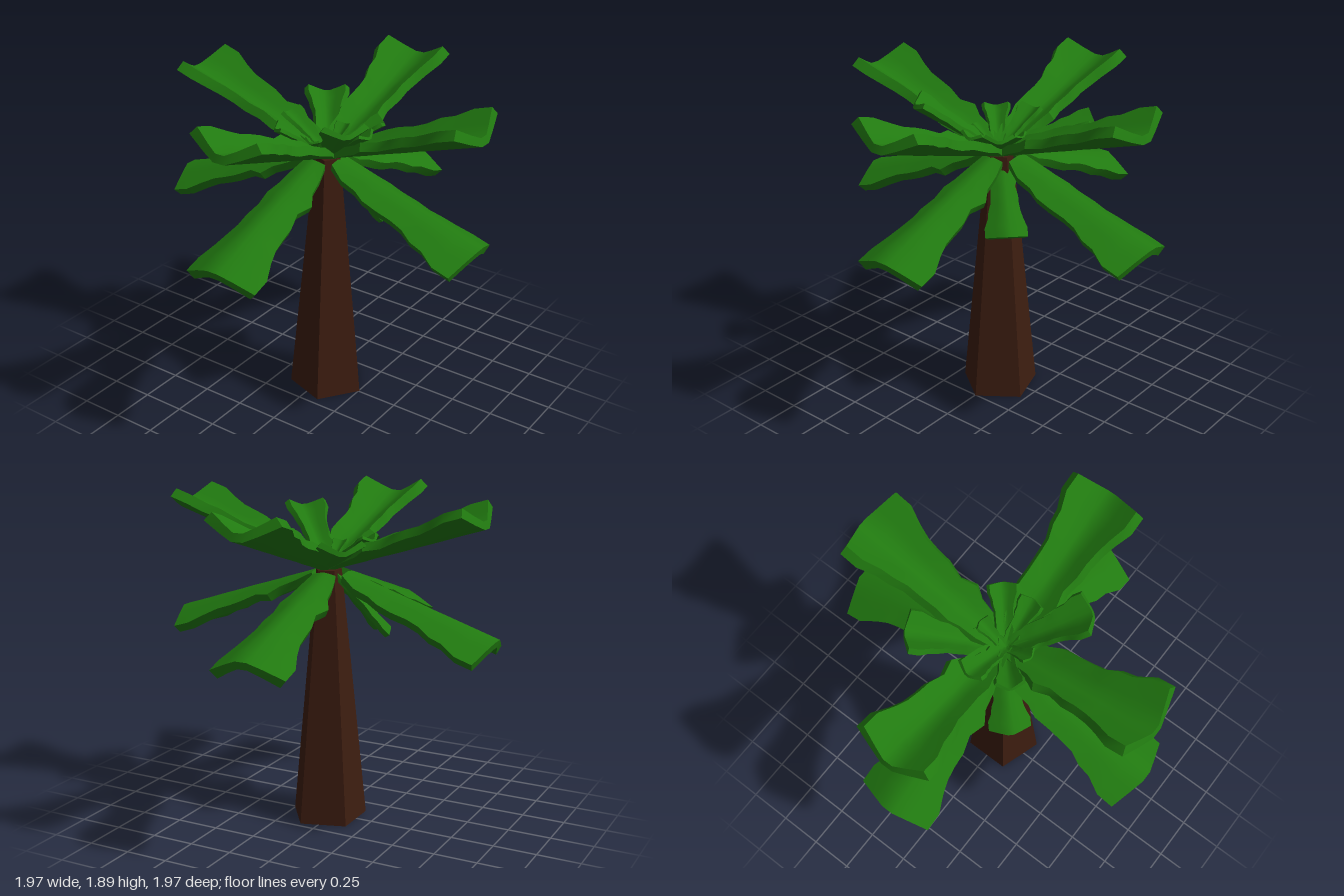
import * as THREE from 'three';
import { toCreasedNormals } from 'three/addons/utils/BufferGeometryUtils.js';

const LENGTH = 0.94;
const CROWN_X = 0.03;
const CROWN_Y = 1.47;
const green = new THREE.MeshStandardMaterial({ color: 0x217a10 });
const brown = new THREE.MeshStandardMaterial({ color: 0x3d1d10, flatShading: true });

// Stations along a frond: [distance, half width, rim height]
const STATIONS = [
  [0, 0.07, 0.06], [0.1, 0.1, 0.08], [0.2, 0.12, 0.095], [0.27, 0.145, 0.105],
  [0.36, 0.13, 0.105], [0.46, 0.15, 0.115], [0.54, 0.145, 0.115], [0.62, 0.17, 0.13],
  [0.7, 0.185, 0.135], [0.8, 0.225, 0.155], [LENGTH, 0.225, 0.155],
];
const LATERAL = [-1, -0.5, -0.15, 0.15, 0.5, 1];

// A thick trough-shaped frond along +x with its keel at y = 0
function frondGeometry() {
  const positions = [];
  const indices = [];
  const m = LATERAL.length;
  const n = 2 * m;
  STATIONS.forEach(([x, w, h], i) => {
    const point = (u, top) => {
      const wave = i > 0 && i < 8 ? 0.008 * Math.sin(i * 2.3 + u) : 0;
      const rise = Math.pow(Math.abs(u), 1.15);
      const setBack = i === STATIONS.length - 1 ? 0.035 * Math.abs(u) : 0;
      const y = rise * (h - 0.045) + (top ? 0.045 : 0) + wave * Math.abs(u);
      positions.push(x - setBack, y, u * (top ? 0.82 : 1) * (w + wave));
    };
    LATERAL.forEach((u) => point(u, false));
    [...LATERAL].reverse().forEach((u) => point(u, true));
  });
  const quad = (a, b, c, d) => indices.push(a, b, c, a, c, d);
  const last = (STATIONS.length - 1) * n;
  for (let i = 0; i < STATIONS.length - 1; i++) {
    for (let j = 0; j < n; j++) {
      const k = (j + 1) % n;
      quad(i * n + j, (i + 1) * n + j, (i + 1) * n + k, i * n + k);
    }
  }
  // Base and tip caps
  for (let j = 0; j < m - 1; j++) {
    const t = n - 1 - j;
    quad(j, j + 1, t - 1, t);
    quad(last + t, last + t - 1, last + j + 1, last + j);
  }
  const geometry = new THREE.BufferGeometry();
  geometry.setAttribute('position', new THREE.Float32BufferAttribute(positions, 3));
  geometry.setIndex(indices);
  return toCreasedNormals(geometry, THREE.MathUtils.degToRad(40));
}

export function createModel() {
  const model = new THREE.Group();
  model.name = 'palmTree';
  const geometry = frondGeometry();

  // Frond pointing towards (dx, dz); downward ones are turned keel up
  const addFrond = (name, [cx, cz], dx, dz, start, pitch, scale) => {
    const frond = new THREE.Mesh(geometry, green);
    const r = Math.hypot(dx, dz);
    frond.name = name;
    frond.position.set(cx + (dx / r) * start, CROWN_Y, cz + (dz / r) * start);
    frond.rotation.order = 'YZX';
    frond.rotation.set(pitch < 0 ? Math.PI : 0, Math.atan2(-dz, dx), THREE.MathUtils.degToRad(pitch));
    frond.scale.setScalar(scale);
    model.add(frond);
  };

  // Five-sided tapering trunk
  const trunk = new THREE.Mesh(new THREE.CylinderGeometry(0.078, 0.225, CROWN_Y, 5), brown);
  trunk.name = 'trunk';
  trunk.rotation.y = Math.PI / 2;
  trunk.position.set(CROWN_X, CROWN_Y / 2, -0.005);
  model.add(trunk);

  // Large raised and drooping fronds on the four sides
  for (const [dx, dz] of [[1, 0], [-1, 0], [0, 1], [0, -1]]) {
    addFrond('upperFrond', [0.035, -0.01], dx, dz, 0.055, 17.5, 1);
    addFrond('lowerFrond', [0, -0.01], dx, dz, 0.1, -17.8, 1);
  }

  // Medium diagonal fronds
  const crown = [CROWN_X, 0];
  addFrond('raisedDiagonalFrond', crown, -0.31, -0.43, 0.02, 17, 0.57);
  addFrond('raisedDiagonalFrond', crown, 0.36, 0.34, 0.02, 32, 0.56);
  addFrond('droopingDiagonalFrond', [0.01, 0], 0.25, -0.25, 0.02, -46, 0.52);
  addFrond('droopingDiagonalFrond', [0.01, 0], -0.25, 0.25, 0.02, -46, 0.52);

  // Small fronds in the heart of the crown
  addFrond('heartFrond', crown, -1, -0.08, 0, 30, 0.37);
  addFrond('heartFrond', crown, 1, -0.04, 0, 30, 0.33);
  addFrond('heartFrond', crown, 0.25, -0.21, 0, 28, 0.38);
  addFrond('heartFrond', crown, -0.22, 0.2, 0, 28, 0.36);
  addFrond('heartFrond', crown, 0, 1, 0, 36, 0.23);
  addFrond('heartFrond', crown, 0, -1, 0, 36, 0.23);

  return model;
}
